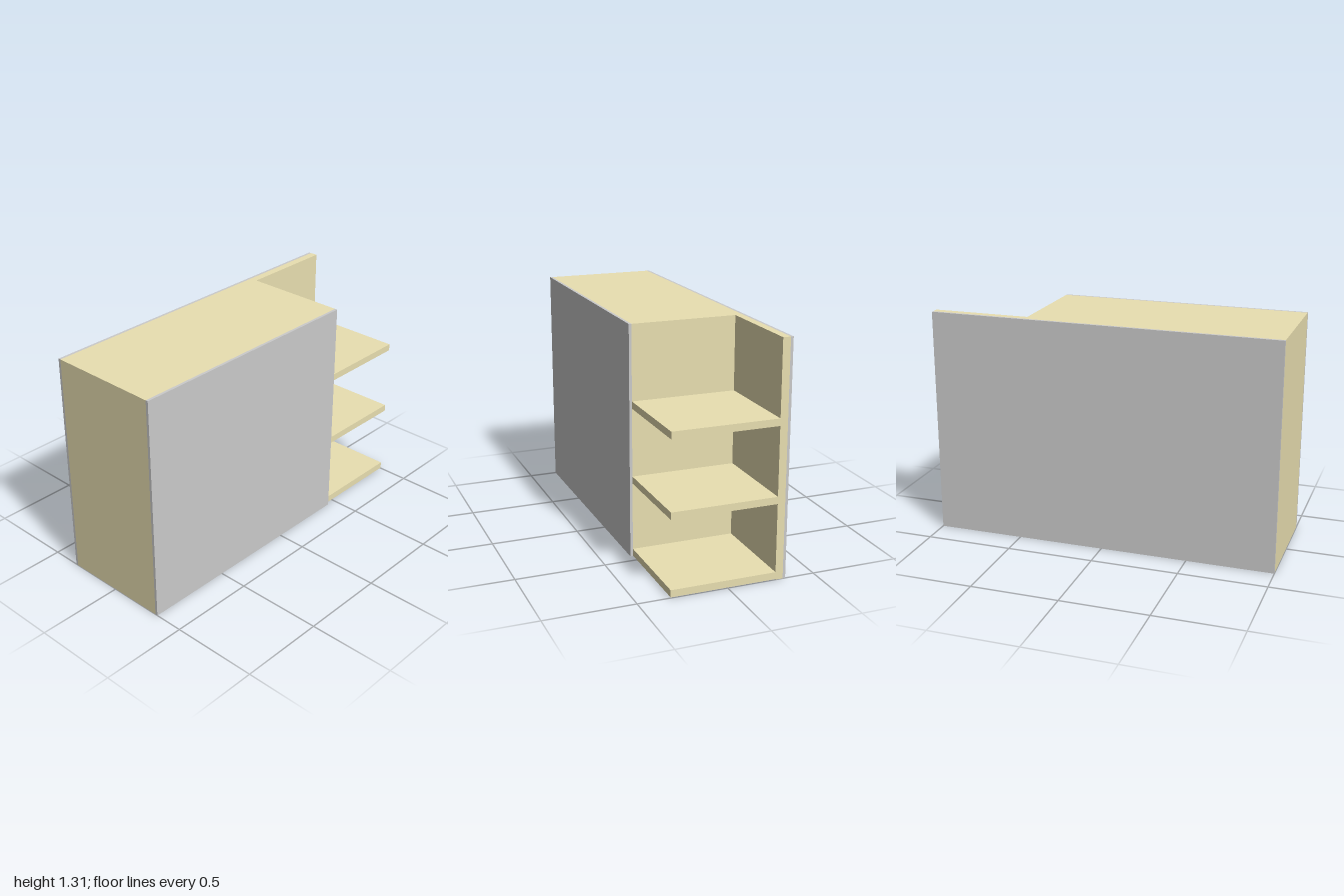
import * as THREE from 'three';

export function createModel() {
  const group = new THREE.Group();
  const wood = new THREE.MeshStandardMaterial({ color: 0xe9dfb1 });
  const grey = new THREE.MeshStandardMaterial({ color: 0xcccccc });

  // Box given by its lower and upper corners
  function panel(name, material, [x0, y0, z0], [x1, y1, z1]) {
    const mesh = new THREE.Mesh(new THREE.BoxGeometry(x1 - x0, y1 - y0, z1 - z0), material);
    mesh.position.set((x0 + x1) / 2, (y0 + y1) / 2, (z0 + z1) / 2);
    mesh.name = name;
    group.add(mesh);
  }

  const height = 1.307;
  const split = 0.445; // where the closed body meets the open shelves
  const inner = 0.318; // wooden core half depth
  const outer = 0.333; // half depth with the facing sheets

  // Closed body and the board behind the shelves
  panel('cabinetBody', wood, [-1, 0, -inner], [split, height, inner]);
  panel('shelfBackBoard', wood, [split, 0, -inner], [1, height, -0.275]);

  // Thin grey facing sheets
  panel('frontFacing', grey, [-1, 0, inner], [split, height, outer]);
  panel('backFacing', grey, [-1, 0, -outer], [1, height, -inner]);

  // Open shelves
  for (const y of [0.003, 0.426, 0.848]) {
    panel('shelf', wood, [split, y, -0.275], [1, y + 0.04, inner]);
  }
  return group;
}
